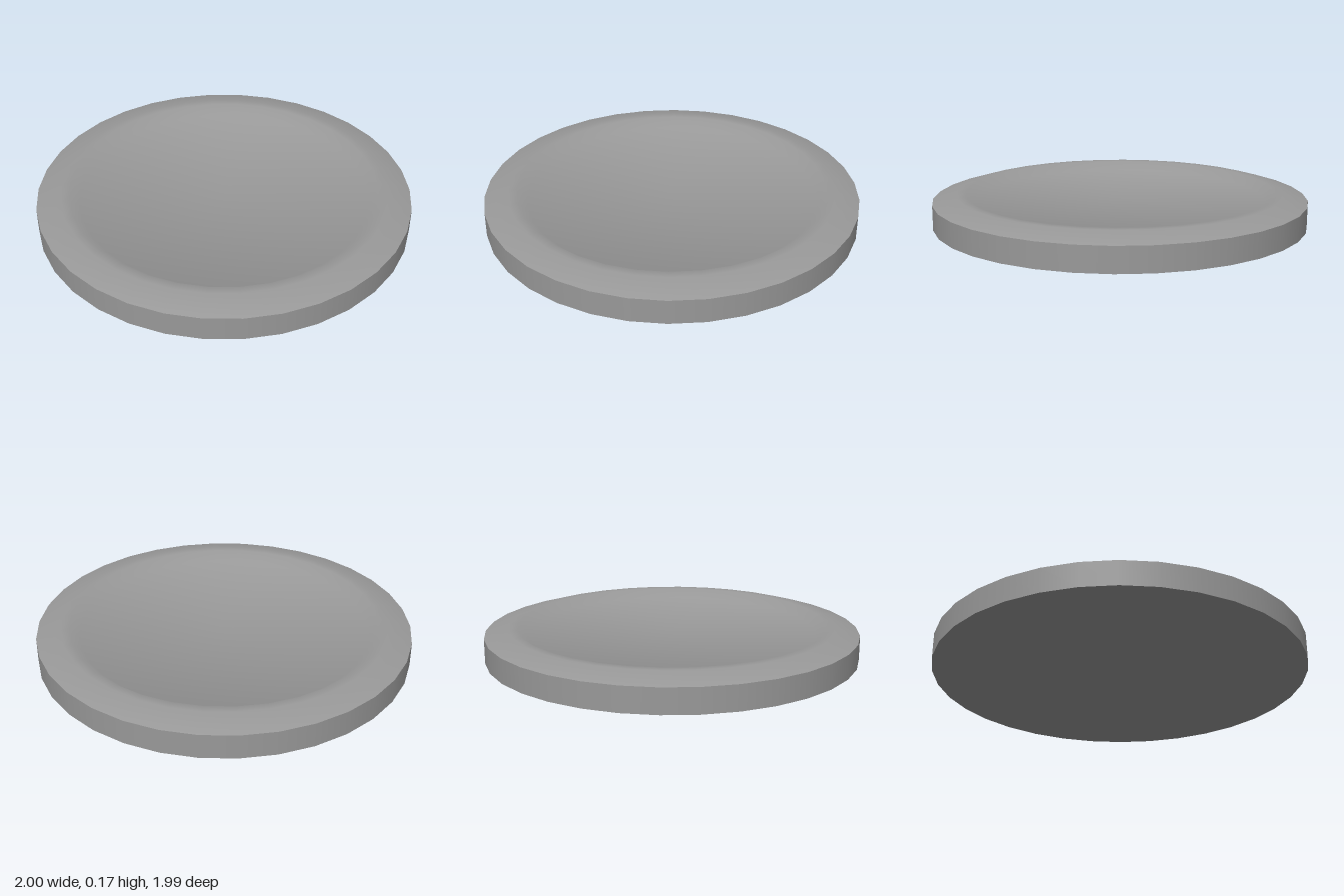
import * as THREE from 'three';

const SIDES = 34;
const START = Math.PI / 2;
const material = new THREE.MeshStandardMaterial({ color: 0x999999 });

// Revolves [radius, height] pairs, starting with a corner on +x
function revolve(name, pairs) {
  const points = pairs.map(([r, y]) => new THREE.Vector2(r, y));
  const mesh = new THREE.Mesh(new THREE.LatheGeometry(points, SIDES, START), material);
  mesh.name = name;
  return mesh;
}

// Gives each ring of a revolved part a normal leaning outward (+) or inward (-)
function leanNormals(geometry, leans) {
  const normal = geometry.attributes.normal;
  for (let i = 0; i < normal.count; i++) {
    const lean = leans[i % leans.length];
    const phi = START + (Math.floor(i / leans.length) / SIDES) * Math.PI * 2;
    normal.setXYZ(i, lean * Math.sin(phi), 1, lean * Math.cos(phi));
  }
  geometry.normalizeNormals();
}

export function createModel() {
  const group = new THREE.Group();
  group.name = 'shallowDish';

  // Flat underside and straight outer wall, meeting at a hard edge
  group.add(revolve('underside', [[0, 0], [1, 0]]));
  group.add(revolve('outerWall', [[1, 0], [1, 0.13]]));

  // Sloped rim, narrow crest, short inner lip and recessed floor, softly blended
  const top = revolve('rimAndFloor', [
    [1, 0.13], [0.87, 0.168], [0.825, 0.167], [0.775, 0.122], [0, 0.122],
  ]);
  leanNormals(top.geometry, [0.29, 0.12, -0.22, -0.33, 0]);
  group.add(top);

  return group;
}
